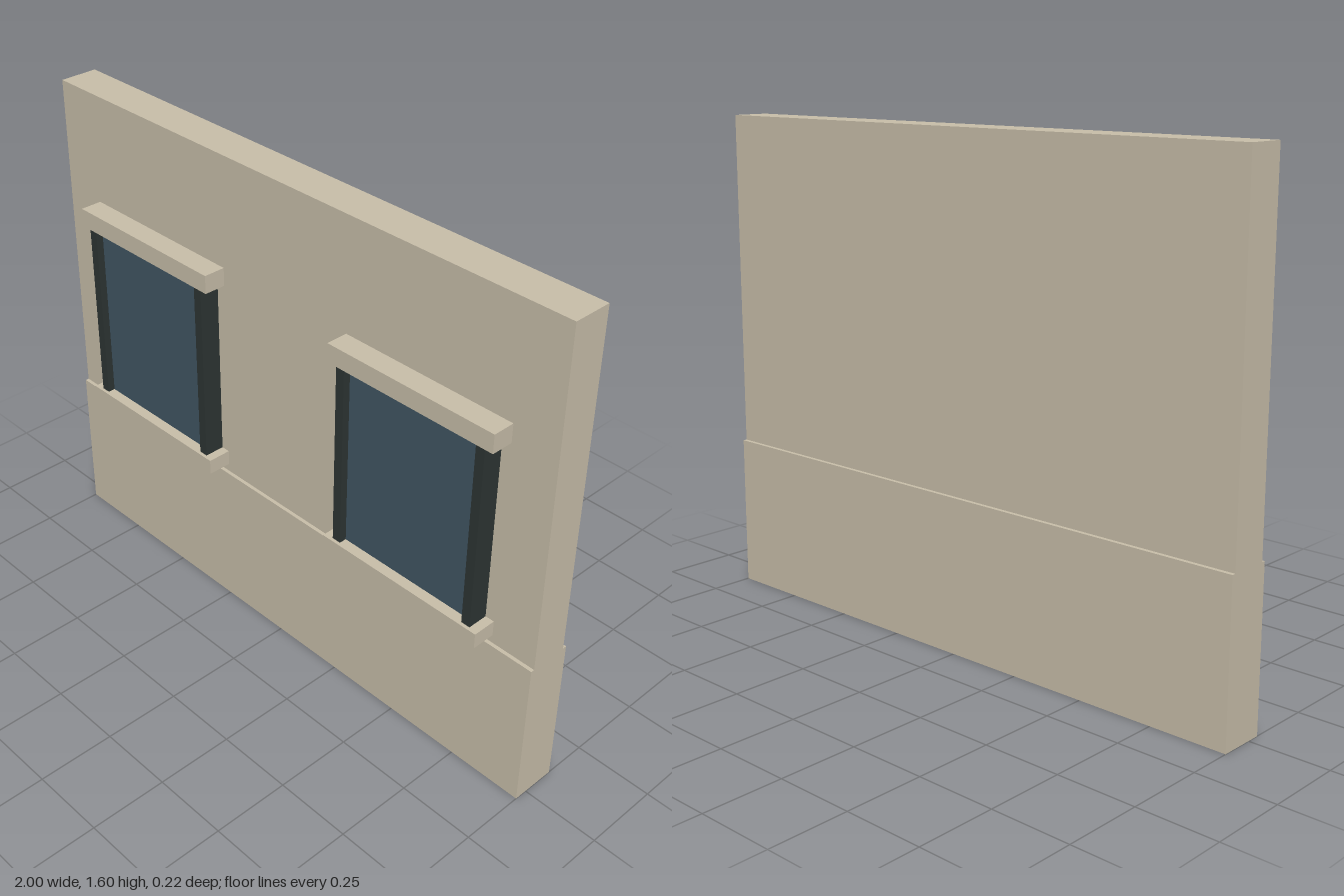
import * as THREE from 'three';

const material = (name, color) => {
  const m = new THREE.MeshStandardMaterial({ color });
  m.name = name;
  return m;
};

// Box given by its extents on each axis
function block(name, mat, [x0, x1], [y0, y1], [z0, z1]) {
  const mesh = new THREE.Mesh(new THREE.BoxGeometry(x1 - x0, y1 - y0, z1 - z0), mat);
  mesh.position.set((x0 + x1) / 2, (y0 + y1) / 2, (z0 + z1) / 2);
  mesh.name = name;
  return mesh;
}

export function createModel() {
  const stone = material('sandstone', 0xc8bea9);
  const frame = material('dark frame', 0x2d3533);
  const glass = material('blue glass', 0x405563);

  const model = new THREE.Group();
  model.name = 'wallPanel';
  const wallFront = 0.03;

  // Thicker plinth below, thinner wall above
  model.add(
    block('plinth', stone, [-1, 1], [0, 0.5], [-0.108, 0.042]),
    block('upperWall', stone, [-1, 1], [0.5, 1.6], [-0.095, wallFront])
  );

  // Two matching windows standing proud of the wall
  for (const side of [-1, 1]) {
    const window = new THREE.Group();
    window.name = side > 0 ? 'leftWindow' : 'rightWindow';
    window.position.x = side * 0.552;
    window.add(
      block('lintel', stone, [-0.297, 0.297], [1.178, 1.238], [wallFront, 0.102]),
      block('sill', stone, [-0.297, 0.297], [0.527, 0.577], [wallFront, 0.108]),
      block('pane', glass, [-0.237, 0.237], [0.577, 1.178], [wallFront, 0.073])
    );
    for (const s of [-1, 1]) {
      const jamb = block('jamb', frame, [-0.015, 0.015], [0.577, 1.178], [wallFront, 0.097]);
      jamb.position.x = s * 0.252;
      window.add(jamb);
    }
    model.add(window);
  }
  return model;
}
